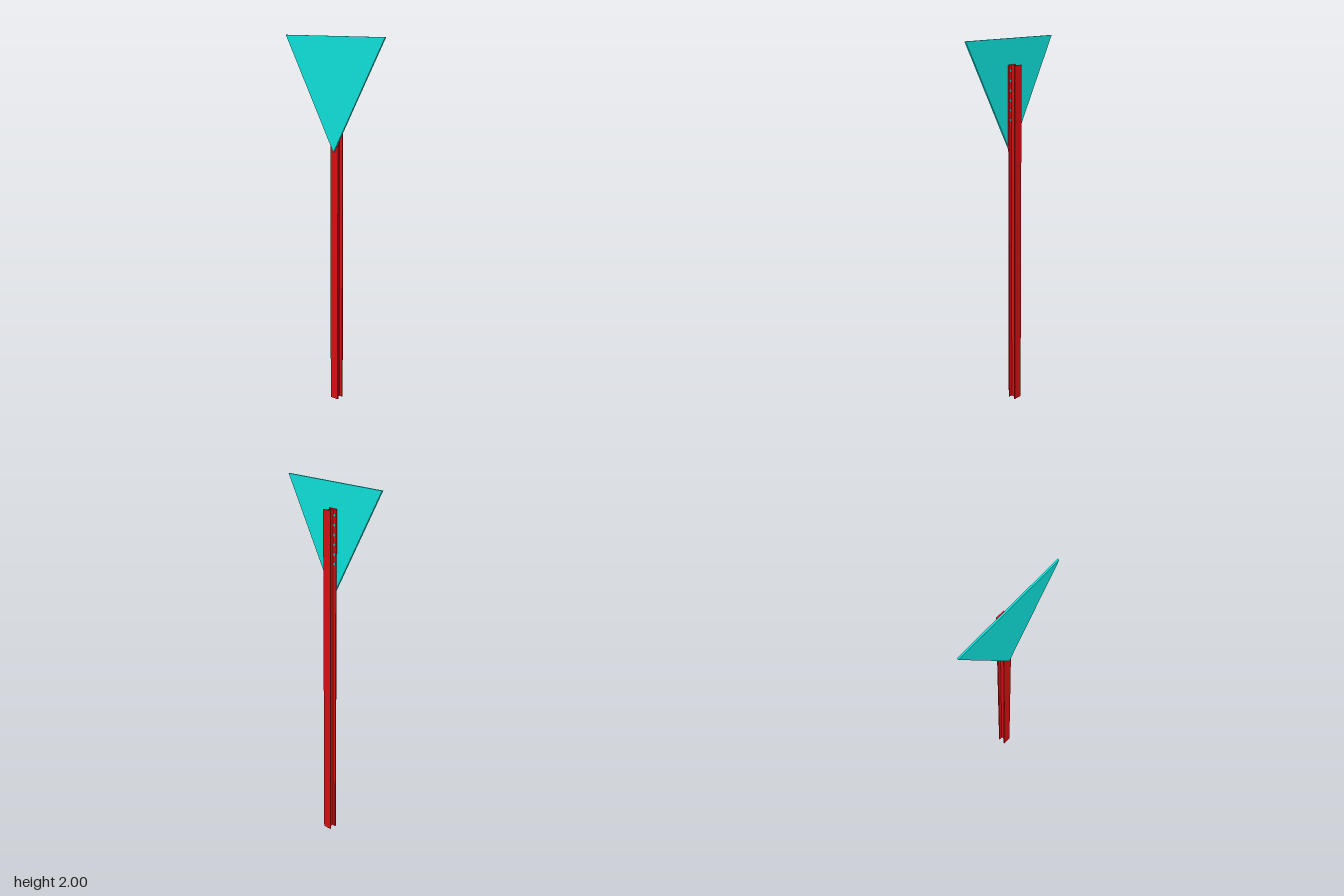
import * as THREE from 'three';

export function createModel() {
  const group = new THREE.Group();
  const red = new THREE.MeshStandardMaterial({ color: 0xd40f12 });
  const teal = new THREE.MeshStandardMaterial({ color: 0x0fe0da });
  const add = (name, geometry, material, x, y, z) => {
    const mesh = new THREE.Mesh(geometry, material);
    mesh.name = name;
    mesh.position.set(x, y, z);
    group.add(mesh);
    return mesh;
  };

  // I-beam post: one closed section, extruded upwards
  const postX = -0.0025, postHeight = 1.87;
  const flange = 0.0245, web = 0.0055, back = -0.0285, front = 0.0185, thick = 0.006;
  const half = [[flange, back], [flange, back + thick], [web, back + thick],
    [web, front - thick], [flange, front - thick], [flange, front]];
  const outline = [...half, ...half.map(([x, z]) => [-x, z]).reverse()];
  const section = new THREE.Shape(outline.map(([x, z]) => new THREE.Vector2(x, -z)));
  const postGeometry = new THREE.ExtrudeGeometry(section, { depth: postHeight, bevelEnabled: false });
  postGeometry.rotateX(-Math.PI / 2);
  add('post', postGeometry, red, postX, 0, 0);

  // Triangular sign plate, point down
  const triangle = new THREE.Shape([
    new THREE.Vector2(0, 1.41), new THREE.Vector2(0.313, 2), new THREE.Vector2(-0.313, 2),
  ]);
  add('signPlate', new THREE.ExtrudeGeometry(triangle, { depth: 0.0095, bevelEnabled: false }),
    teal, 0, 0, front);

  // Two columns of bolts through the front flange
  const boltGeometry = new THREE.CylinderGeometry(0.007, 0.007, 0.009, 16);
  boltGeometry.rotateX(Math.PI / 2);
  for (const side of [-1, 1]) {
    for (let i = 0; i < 6; i++) {
      add('bolt', boltGeometry, teal, postX + side * 0.015, 1.84 - i * 0.05, 0.0145);
    }
  }
  return group;
}
